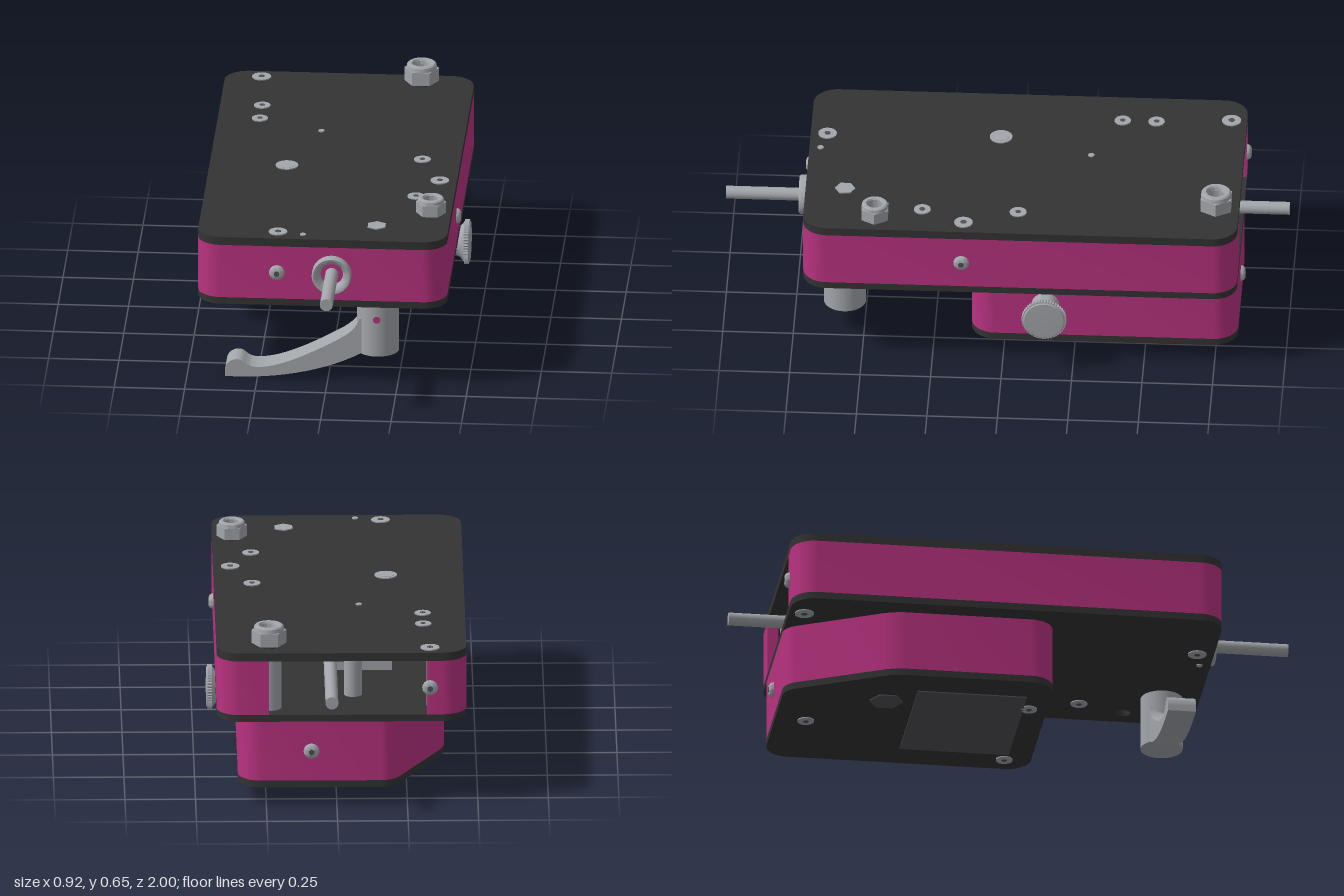
import * as THREE from 'three';
import { toCreasedNormals } from 'three/addons/utils/BufferGeometryUtils.js';

const mat = (name, color, side = THREE.FrontSide) => {
  const m = new THREE.MeshStandardMaterial({ color, side });
  m.name = name;
  return m;
};

// Closed outline through [x, y, cornerRadius] points
function outline(points, Type = THREE.Shape) {
  const s = new Type(), n = points.length, k = 0.448;
  points.forEach(([x, y, r = 0], i) => {
    const toward = ([px, py], d) => {
      const l = Math.hypot(px - x, py - y);
      return [x + ((px - x) / l) * d, y + ((py - y) / l) * d];
    };
    const prev = points[(i + n - 1) % n], next = points[(i + 1) % n];
    const a = toward(prev, r), b = toward(next, r);
    if (i === 0) s.moveTo(...a); else s.lineTo(...a);
    if (r) s.bezierCurveTo(...toward(prev, r * k), ...toward(next, r * k), ...b);
  });
  s.closePath();
  return s;
}

// Polygon or circle outline
function ring(r, sides, x = 0, y = 0, Type = THREE.Shape) {
  return outline(Array.from({ length: sides }, (_, i) => {
    const a = (i / sides) * Math.PI * 2;
    return [x + r * Math.cos(a), y + r * Math.sin(a)];
  }), Type);
}

// Plan shape (x, z) extruded between two heights
function slab(shape, y0, y1) {
  const g = new THREE.ExtrudeGeometry(shape, { depth: y1 - y0, bevelEnabled: false, curveSegments: 8 });
  g.rotateX(Math.PI / 2).translate(0, y1, 0);
  return toCreasedNormals(g, 0.5);
}

const lathe = (pts, seg = 32) =>
  toCreasedNormals(new THREE.LatheGeometry(pts.map(p => new THREE.Vector2(...p)), seg), 0.6);

export function createModel() {
  const root = new THREE.Group();
  root.name = 'clampMechanism';
  const pink = mat('magenta', 0xb83280);
  const dark = mat('charcoal', 0x333333);
  const steel = mat('steelGrey', 0xa2a5aa, THREE.DoubleSide);
  const slate = mat('slateGrey', 0x505054);

  // Adds a part whose local y axis points along dir
  const add = (name, geo, material, pos = [0, 0, 0], dir = [0, 1, 0]) => {
    const m = new THREE.Mesh(geo, material);
    m.name = name;
    m.position.set(...pos);
    m.quaternion.setFromUnitVectors(new THREE.Vector3(0, 1, 0), new THREE.Vector3(...dir));
    root.add(m);
    return m;
  };
  const cyl = (r, h, seg = 24) => new THREE.CylinderGeometry(r, r, h, seg);

  // Upper case: two plates and a wall that is open at the back
  const upper = [[-0.46, -0.83, 0.085], [0.425, -0.83, 0.085], [0.425, 0.71, 0.085], [-0.46, 0.71, 0.085]];
  for (const [name, y0, y1] of [['upperTopPlate', 0.54, 0.57], ['upperBottomPlate', 0.315, 0.34]]) {
    const s = outline(upper);
    s.holes.push(ring(0.026, 20, 0.35, 0.455, THREE.Path));
    add(name, slab(s, y0, y1), dark);
  }
  add('upperWall', slab(outline([
    [0.24, -0.83], [0.425, -0.83, 0.085], [0.425, 0.71, 0.085], [-0.46, 0.71, 0.085],
    [-0.46, -0.83, 0.085], [-0.32, -0.83], [-0.32, -0.79], [-0.42, -0.79, 0.045],
    [-0.42, 0.67, 0.045], [0.385, 0.67, 0.045], [0.385, -0.79, 0.045], [0.24, -0.79],
  ]), 0.34, 0.54), pink);

  // Lower case with one chamfered back corner
  const lower = [[0.35, -0.83, 0.085], [0.35, 0.115, 0.085], [-0.385, 0.115, 0.085],
    [-0.385, -0.46, 0.04], [-0.2, -0.83, 0.04]];
  const lowerWall = outline(lower);
  lowerWall.holes.push(outline([[0.31, -0.79, 0.045], [0.31, 0.075, 0.045], [-0.345, 0.075, 0.045],
    [-0.345, -0.45], [-0.18, -0.79]], THREE.Path));
  add('lowerWall', slab(lowerWall, 0.095, 0.315), pink);
  add('lowerBottomPlate', slab(outline(lower), 0.07, 0.095), dark);
  add('bottomPanel', new THREE.BoxGeometry(0.485, 0.006, 0.39), slate, [-0.018, 0.069, -0.165]);
  add('bottomHexInset', cyl(0.06, 0.006, 6), slate, [-0.16, 0.069, -0.46]);

  // Flush screws in the plates: x, z, radius
  const flush = (x, y, z, r, dy) => {
    add('flushScrew', cyl(r, 0.004), steel, [x, y + dy * 0.001, z], [0, dy, 0]);
    if (r > 0.02) add('screwSocket', cyl(r * 0.36, 0.004, 6), slate, [x, y + dy * 0.002, z], [0, dy, 0]);
  };
  const topScrews = [[-0.33, -0.775, 0.034], [-0.31, -0.51, 0.029], [-0.31, -0.39, 0.029],
    [0.29, -0.05, 0.03], [0.365, 0.14, 0.033], [0.29, 0.29, 0.03], [-0.175, 0.65, 0.033],
    [-0.085, -0.29, 0.011], [-0.085, 0.67, 0.011]];
  for (const [x, z, r] of topScrews) flush(x, 0.571, z, r, 1);
  for (const [x, z, r] of [[-0.33, -0.775, 0.034], [0.365, 0.14, 0.033], [0.29, 0.29, 0.03],
    [-0.175, 0.65, 0.033], [-0.085, 0.67, 0.011]]) flush(x, 0.314, z, r, -1);
  for (const [x, z] of [[0.04, -0.72], [-0.16, 0.05], [0.27, 0.02]]) flush(x, 0.069, z, 0.03, -1);
  add('pivotRing', slab(ring(0.04, 28), 0, 0.004), steel, [-0.185, 0.57, 0.035]);
  add('pivotCap', cyl(0.029, 0.004), steel, [-0.185, 0.573, 0.035]);
  add('leverBoltEnd', cyl(0.036, 0.006, 6), steel, [0.17, 0.571, 0.57]);

  // Button head screws on the sides
  for (const [pos, dir] of [
    [[-0.175, 0.44, 0.71], [0, 0, 1]], [[-0.02, 0.205, 0.115], [0, 0, 1]],
    [[-0.33, 0.44, -0.83], [0, 0, -1]], [[0.09, 0.205, -0.83], [0, 0, -1]],
    [[0.425, 0.44, 0.145], [1, 0, 0]],
  ]) {
    add('buttonScrew', lathe([[0.028, 0], [0.027, 0.006], [0.023, 0.012], [0.016, 0.016], [0, 0.016]], 24), steel, pos, dir);
    add('screwSocket', cyl(0.011, 0.003, 6), slate, pos.map((p, i) => p + dir[i] * 0.0155), dir);
  }

  // Lock nuts: hexagon, bevelled shoulder and round collar around a hole
  const nut = (x, y, z, r, h) => {
    const hole = r * 0.5, hex = ring(r, 6);
    hex.holes.push(ring(hole, 24, 0, 0, THREE.Path));
    add('nutHexagon', slab(hex, 0, h * 0.72), steel, [x, y, z]);
    add('nutCollar', lathe([[r * 0.88, h * 0.72], [r * 0.84, h * 0.93], [r * 0.76, h],
      [hole * 1.15, h], [hole, h * 0.9], [hole, 0]]), steel, [x, y, z]);
  };
  nut(0.24, 0.584, -0.75, 0.062, 0.068);
  nut(0.355, 0.58, 0.455, 0.054, 0.058);
  add('studSeat', cyl(0.031, 0.004), dark, [0.24, 0.571, -0.75]);

  // Posts inside the open back
  add('rearPost', cyl(0.045, 0.2), steel, [0.24, 0.44, -0.74]);
  add('innerPost', cyl(0.032, 0.2), steel, [-0.06, 0.44, -0.6]);
  add('innerBracket', new THREE.BoxGeometry(0.012, 0.17, 0.08), steel, [-0.325, 0.44, -0.74]);
  add('innerBlock', new THREE.BoxGeometry(0.2, 0.12, 0.14), steel, [-0.1, 0.44, -0.38]);

  // Sliding rod with its flared front bushing
  add('rod', cyl(0.023, 2), steel, [0.02, 0.44, 0], [0, 0, 1]);
  add('rodBushing', lathe([[0.07, 0], [0.07, 0.024], [0.066, 0.03], [0.06, 0.03], [0.05, 0.024],
    [0.041, 0.008], [0.036, -0.02], [0.036, -0.05]], 40), steel, [0.02, 0.44, 0.71], [0, 0, 1]);

  // Knurled side knob
  const knobAt = [0.35, 0.22, -0.15];
  add('knobNeck', lathe([[0.05, 0], [0.05, 0.055], [0.055, 0.068], [0.077, 0.086], [0, 0.086]]), steel, knobAt, [1, 0, 0]);
  const teeth = outline(Array.from({ length: 96 }, (_, i) => {
    const a = (i / 96) * Math.PI * 2, r = i % 2 ? 0.08 : 0.076;
    return [r * Math.cos(a), r * Math.sin(a)];
  }));
  add('knobRim', slab(teeth, 0.084, 0.1), steel, knobAt, [1, 0, 0]);
  add('knobFace', lathe([[0.075, 0.099], [0.07, 0.104], [0, 0.106]]), steel, knobAt, [1, 0, 0]);

  // Clamping lever: bolt, hub and curved arm
  add('leverBolt', cyl(0.033, 0.04), steel, [0.175, 0.303, 0.57]);
  add('leverHub', cyl(0.075, 0.195, 40), steel, [0.175, 0.1975, 0.57]);
  add('leverPinHole', cyl(0.013, 0.006, 16), pink, [0.175, 0.24, 0.644], [0, 0, 1]);
  const arm = new THREE.Shape();
  arm.moveTo(0.175, 0.235);
  arm.lineTo(0.112, 0.235);
  arm.bezierCurveTo(0.1, 0.18, 0.04, 0.155, -0.02, 0.12);
  arm.bezierCurveTo(-0.1, 0.078, -0.18, 0.04, -0.25, 0.038);
  arm.bezierCurveTo(-0.295, 0.038, -0.295, 0.064, -0.32, 0.066);
  arm.bezierCurveTo(-0.35, 0.066, -0.366, 0.045, -0.366, 0.02);
  arm.lineTo(-0.366, 0);
  arm.lineTo(-0.29, 0);
  arm.bezierCurveTo(-0.15, 0.004, 0, 0.035, 0.115, 0.1);
  arm.lineTo(0.175, 0.1);
  arm.closePath();
  const armGeo = new THREE.ExtrudeGeometry(arm, { depth: 0.1, bevelEnabled: false, curveSegments: 12 });
  add('leverArm', toCreasedNormals(armGeo.translate(0, 0, 0.52), 0.6), steel);

  return root;
}
